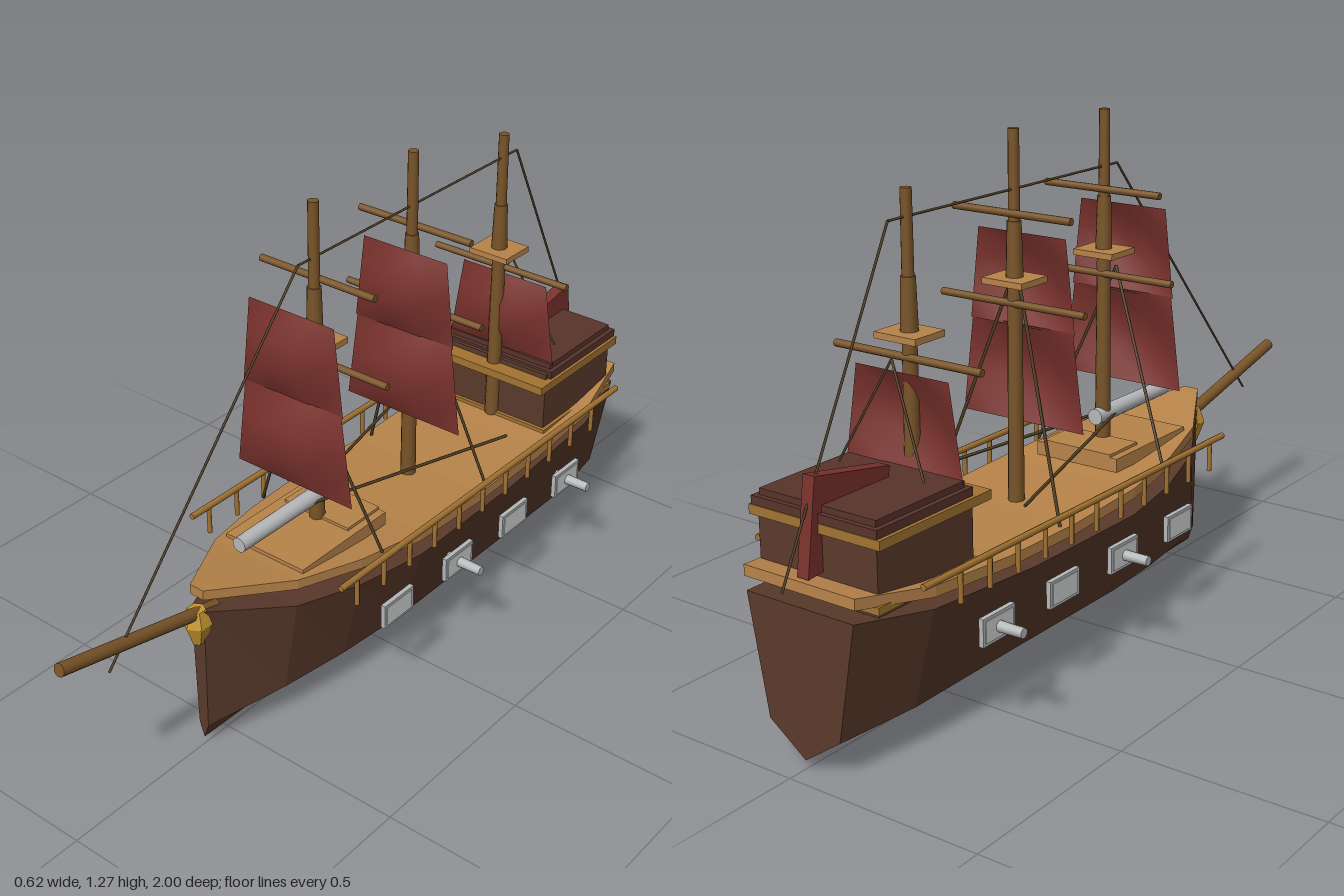
import * as THREE from 'three';

const mat = (name, color, side = THREE.FrontSide) => {
  const m = new THREE.MeshStandardMaterial({ color, side });
  m.name = name;
  return m;
};

export function createModel() {
  const ship = new THREE.Group();
  ship.name = 'sailingShip';
  const hullBrown = mat('hullBrown', 0x5a3a2b);
  const roofBrown = mat('roofBrown', 0x58342b);
  const deckWood = mat('deckWood', 0xb8844a);
  const sparWood = mat('sparWood', 0x795428);
  const trimWood = mat('trimWood', 0xa37332);
  const gold = mat('gold', 0xc4962e);
  const metal = mat('metal', 0xb6b8ba);
  const portGrey = mat('portGrey', 0xd2d4d4);
  const sailRed = mat('sailRed', 0x7a322d, THREE.DoubleSide);
  const rope = mat('rope', 0x4f3d24);

  const add = (name, geo, material, x = 0, y = 0, z = 0) => {
    const m = new THREE.Mesh(geo, material);
    m.name = name;
    m.position.set(x, y, z);
    ship.add(m);
    return m;
  };
  const box = (name, material, w, h, d, x, y, z) =>
    add(name, new THREE.BoxGeometry(w, h, d), material, x, y, z);

  // Round bar between two points
  const bar = (name, material, a, b, r, r2 = r, sides = 10) => {
    const p = new THREE.Vector3(...a), q = new THREE.Vector3(...b);
    const dir = q.clone().sub(p);
    const m = add(name, new THREE.CylinderGeometry(r2, r, dir.length(), sides), material);
    m.position.copy(p).add(q).multiplyScalar(0.5);
    m.quaternion.setFromUnitVectors(new THREE.Vector3(0, 1, 0), dir.normalize());
  };

  // Closed flat-shaded loft; rings run anticlockwise seen from +z, stern to bow
  const loft = (rings) => {
    const out = [];
    const n = rings[0].length;
    const tri = (...pts) => pts.forEach((p) => out.push(...p));
    for (let i = 0; i < rings.length - 1; i++) {
      for (let j = 0; j < n; j++) {
        const k = (j + 1) % n;
        tri(rings[i][j], rings[i][k], rings[i + 1][k]);
        tri(rings[i][j], rings[i + 1][k], rings[i + 1][j]);
      }
    }
    const s = rings[0], b = rings[rings.length - 1];
    for (let j = 1; j < n - 1; j++) {
      tri(s[0], s[j + 1], s[j]);
      tri(b[0], b[j], b[j + 1]);
    }
    const g = new THREE.BufferGeometry();
    g.setAttribute('position', new THREE.Float32BufferAttribute(out, 3));
    g.computeVertexNormals();
    return g;
  };

  // Hull: z, top half width, chine half width, top y, chine y, keel y
  const hullStations = [
    [-0.95, 0.15, 0.10, 0.372, 0.09, 0.02],
    [-0.75, 0.195, 0.135, 0.345, 0.10, 0.01],
    [-0.4, 0.2, 0.145, 0.323, 0.11, 0.0],
    [0.0, 0.2, 0.145, 0.32, 0.11, 0.005],
    [0.2, 0.172, 0.12, 0.33, 0.10, 0.01],
    [0.38, 0.125, 0.085, 0.35, 0.09, 0.015],
    [0.58, 0.02, 0.014, 0.4, 0.06, 0.02],
  ];
  add('hull', loft(hullStations.map(([z, w, c, t, cy, k]) =>
    [[w, t, z], [-w, t, z], [-c, cy, z], [0, k, z], [c, cy, z]])), hullBrown);

  // Curved deck slab: z, half width, top y
  const deckStations = [
    [-0.95, 0.155, 0.43], [-0.75, 0.2, 0.4], [-0.5, 0.203, 0.382], [-0.25, 0.203, 0.378],
    [0, 0.2, 0.388], [0.2, 0.175, 0.406], [0.38, 0.13, 0.427], [0.58, 0.02, 0.46],
  ];
  add('deck', loft(deckStations.map(([z, w, y]) =>
    [[w, y, z], [-w, y, z], [-w, y - 0.026, z], [w, y - 0.026, z]])), deckWood);

  // Foredeck platform with its long gun
  box('foredeckPlatform', deckWood, 0.24, 0.035, 0.31, 0, 0.416, 0.195);
  box('foredeckHatch', deckWood, 0.2, 0.012, 0.12, 0, 0.435, 0.1);
  bar('bowGun', metal, [0, 0.498, 0.12], [0, 0.498, 0.435], 0.021, 0.019, 16);

  // Stern cabin
  box('cabin', hullBrown, 0.33, 0.19, 0.31, 0, 0.463, -0.735);
  box('cabinBase', trimWood, 0.35, 0.018, 0.33, 0, 0.388, -0.735);
  box('cabinLedge', trimWood, 0.365, 0.022, 0.365, 0, 0.533, -0.718);
  box('cabinRoof', roofBrown, 0.35, 0.02, 0.31, 0, 0.555, -0.745);
  box('cabinRoofTop', roofBrown, 0.325, 0.016, 0.285, 0, 0.572, -0.745);

  // Stern sail: a thin upright panel along the centre line
  const fin = new THREE.Shape([[-0.675, 0.605], [-0.69, 0.45], [-0.935, 0.43], [-0.905, 0.648]]
    .map(([z, y]) => new THREE.Vector2(-z, y)));
  const finGeo = new THREE.ExtrudeGeometry(fin, { depth: 0.032, bevelEnabled: false });
  finGeo.rotateY(Math.PI / 2).translate(-0.016, 0, 0);
  add('sternSail', finGeo, sailRed);

  // Bowsprit and figurehead
  bar('bowsprit', sparWood, [0, 0.375, 0.52], [0, 0.485, 0.997], 0.016, 0.016, 12);
  const headTop = new THREE.CylinderGeometry(0.022, 0.036, 0.04, 6).toNonIndexed();
  const headLow = new THREE.CylinderGeometry(0.036, 0.016, 0.055, 6).toNonIndexed();
  for (const g of [headTop, headLow]) g.computeVertexNormals();
  add('figureheadTop', headTop, gold, 0, 0.383, 0.583);
  add('figureheadBody', headLow, gold, 0, 0.336, 0.583);

  // Billowing square sail of three by three panels
  const sail = (name, y0, y1, w0, w1, z) => {
    const plane = new THREE.PlaneGeometry(1, 1, 3, 3);
    const p = plane.attributes.position;
    for (let i = 0; i < p.count; i++) {
      const u = p.getX(i), v = p.getY(i) + 0.5;
      const bulge = Math.cos(u * Math.PI) * Math.sin(v * Math.PI);
      p.setXYZ(i, 2 * u * THREE.MathUtils.lerp(w0, w1, v),
        THREE.MathUtils.lerp(y0, y1, v), z + 0.052 * bulge);
    }
    plane.computeVertexNormals();
    add(name, plane, sailRed);
  };

  // Masts with crosstrees, yards [y, half length] and sails
  const masts = [
    { name: 'fore', z: 0.155, foot: 0.38, cap: 1.055, top: 1.266, tree: 0.917,
      yards: [[1.073, 0.167], [0.863, 0.205]], sailZ: 0.237, sails: 2 },
    { name: 'main', z: -0.207, foot: 0.36, cap: 1.055, top: 1.266, tree: 0.917,
      yards: [[1.073, 0.167], [0.863, 0.205]], sailZ: -0.18, sails: 2 },
    { name: 'mizzen', z: -0.58, foot: 0.37, cap: 1.0, top: 1.19, tree: 0.872,
      yards: [[0.822, 0.205]], sailZ: -0.61, sails: 1 },
  ];
  for (const m of masts) {
    bar(m.name + 'LowerMast', sparWood, [0, m.foot, m.z], [0, m.tree, m.z], 0.02, 0.017, 12);
    bar(m.name + 'Doubling', sparWood, [0, m.tree, m.z], [0, m.cap, m.z], 0.021, 0.017, 12);
    bar(m.name + 'Topmast', sparWood, [0, m.cap - 0.02, m.z], [0, m.top, m.z], 0.014, 0.013, 12);
    box(m.name + 'Crosstree', deckWood, 0.115, 0.015, 0.1, 0, m.tree, m.z);
    for (const [y, half] of m.yards)
      bar(m.name + 'Yard', sparWood, [-half, y, m.z - 0.01], [half, y, m.z - 0.01], 0.009);
    if (m.sails === 2) {
      sail(m.name + 'LowerSail', 0.568, 0.805, 0.175, 0.145, m.sailZ);
      sail(m.name + 'UpperSail', 0.8, 1.022, 0.15, 0.125, m.sailZ);
    } else sail(m.name + 'Sail', 0.573, 0.793, 0.165, 0.13, m.sailZ);
  }

  // Stays along the centre line
  const stay = [[0, 0.392, 0.86], [0, 1.128, 0.21], [0, 1.128, -0.64], [0, 0.418, -0.997]];
  for (let i = 0; i < 3; i++) bar('stay', rope, stay[i], stay[i + 1], 0.003, 0.003, 6);

  // Parts mirrored on both sides
  for (const s of [1, -1]) {
    bar('foreShroud', rope, [0, 0.87, 0.21], [s * 0.19, 0.4, 0.14], 0.004, 0.004, 6);
    bar('mainShroud', rope, [0, 0.95, -0.2], [s * 0.19, 0.365, -0.29], 0.004, 0.004, 6);
    bar('mizzenShroud', rope, [0, 0.83, -0.64], [s * 0.12, 0.59, -0.685], 0.003, 0.003, 6);
    bar('deckLine', rope, [0, 0.498, 0.25], [s * 0.17, 0.461, -0.4], 0.004, 0.004, 6);

    // Side rail and posts
    bar('rail', trimWood, [s * 0.234, 0.432, -0.83], [s * 0.234, 0.432, 0.35], 0.008, 0.008, 8);
    for (let i = 0; i < 11; i++) {
      const z = 0.29 - i * 0.1;
      bar('railPost', trimWood, [s * 0.234, 0.355, z], [s * 0.234, 0.435, z], 0.006, 0.006, 8);
    }

    // Gun ports, with a gun in every second one
    [0.14, -0.105, -0.348, -0.592].forEach((z, i) => {
      box('portFrame', metal, 0.012, 0.066, 0.112, s * 0.237, 0.262, z);
      box('portLid', portGrey, 0.016, 0.052, 0.096, s * 0.237, 0.262, z);
      if (i % 2) bar('sideGun', metal, [s * 0.21, 0.261, z], [s * 0.31, 0.261, z], 0.014, 0.012, 12);
    });
  }
  return ship;
}
